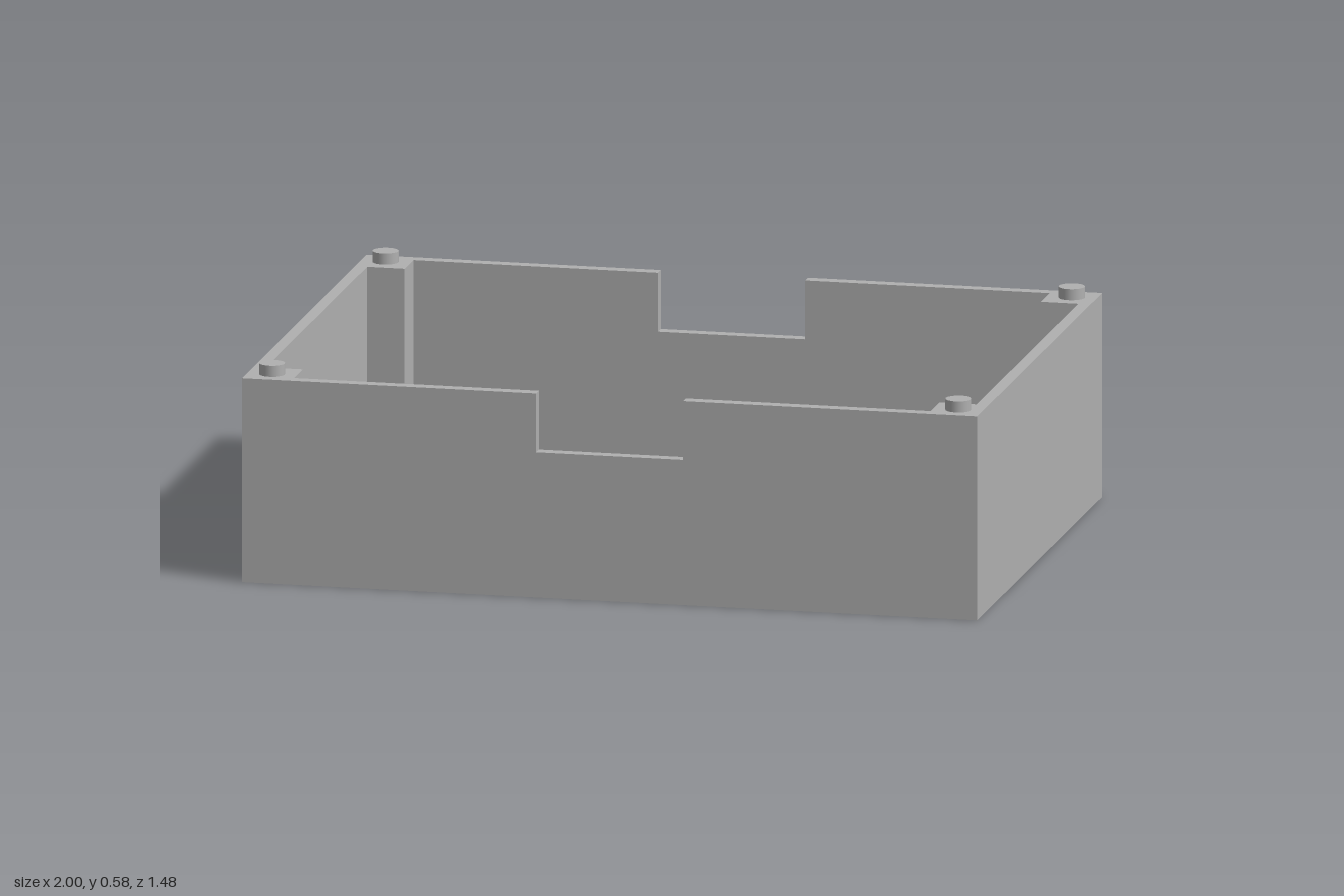
import * as THREE from 'three';

const W = 1, D = 0.74;            // outer half sizes
const IW = 0.967, ID = 0.707;     // inner half sizes
const PX = 0.865, PZ = 0.603;     // inner corners of the posts
const FLOOR = 0.033, NOTCH = 0.395, TOP = 0.555;
const PEG_X = 0.933, PEG_Z = 0.673, PEG_R = 0.035;

export function createModel() {
  const group = new THREE.Group();
  const grey = new THREE.MeshStandardMaterial({ color: 0xb0b0b0 });
  grey.name = 'grey plastic';

  const add = (name, geometry) => {
    const mesh = new THREE.Mesh(geometry, grey);
    mesh.name = name;
    group.add(mesh);
    return mesh;
  };
  const outline = (points) => new THREE.Shape(points.map(([x, y]) => new THREE.Vector2(x, y)));
  // Extrudes a plan outline upward from y0 to y1
  const slab = (shape, y0, y1) =>
    new THREE.ExtrudeGeometry(shape, { depth: y1 - y0, bevelEnabled: false, curveSegments: 16 })
      .rotateX(-Math.PI / 2).translate(0, y0, 0);
  const rectangle = () => outline([[-W, -D], [W, -D], [W, D], [-W, D]]);
  const corners = [[1, 1], [-1, 1], [-1, -1], [1, -1]];

  // Floor with a peg socket under each corner
  const floor = rectangle();
  for (const [sx, sz] of corners) {
    const socket = new THREE.Path();
    socket.absarc(sx * PEG_X, sz * PEG_Z, PEG_R, 0, Math.PI * 2, true);
    floor.holes.push(socket);
  }
  add('floor', slab(floor, 0, FLOOR));

  // Lower wall ring, thickened into square corner posts
  const ring = rectangle();
  ring.holes.push(outline([
    [PX, -ID], [PX, -PZ], [IW, -PZ], [IW, PZ], [PX, PZ], [PX, ID],
    [-PX, ID], [-PX, PZ], [-IW, PZ], [-IW, -PZ], [-PX, -PZ], [-PX, -ID],
  ]));
  add('lowerWalls', slab(ring, FLOOR, NOTCH));

  // Upper walls in two halves, leaving the front and back notches open
  const half = outline([
    [0.2, -D], [W, -D], [W, D], [0.2, D], [0.2, ID], [PX, ID],
    [PX, PZ], [IW, PZ], [IW, -PZ], [PX, -PZ], [PX, -ID], [0.2, -ID],
  ]);
  add('leftUpperWall', slab(half, NOTCH, TOP));
  add('rightUpperWall', slab(half, NOTCH, TOP).rotateY(Math.PI));

  // Stacking pegs on the corner posts
  const peg = new THREE.CylinderGeometry(PEG_R, PEG_R, 0.03, 32);
  for (const [sx, sz] of corners) {
    add('peg', peg).position.set(sx * PEG_X, TOP + 0.015, sz * PEG_Z);
  }
  return group;
}
